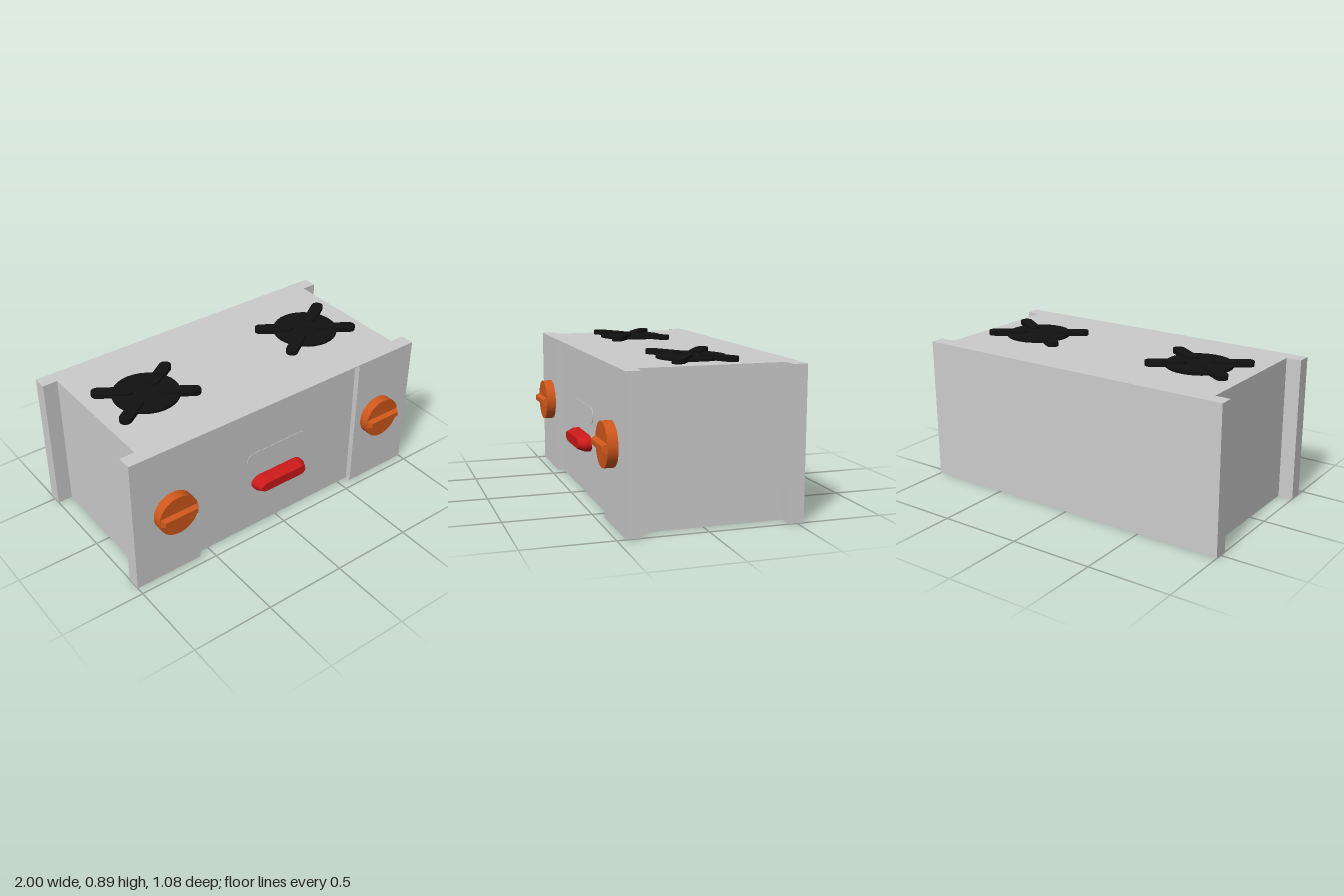
import * as THREE from 'three';

const grey = new THREE.MeshStandardMaterial({ color: 0xcccccc });
const black = new THREE.MeshStandardMaterial({ color: 0x111111 });
const orange = new THREE.MeshStandardMaterial({ color: 0xd0581c });
const red = new THREE.MeshStandardMaterial({ color: 0xcc1a1a });

const BACK = -0.54, FRONT = 0.45, LIP = 0.085, RECESS = 0.035;
const SIDE = 0.91, PANEL = 0.575, HEIGHT = 0.86, LID = 0.006;

function add(parent, name, geometry, material, x = 0, y = 0, z = 0) {
  const mesh = new THREE.Mesh(geometry, material);
  mesh.name = name;
  mesh.position.set(x, y, z);
  parent.add(mesh);
  return mesh;
}

// Rounded bar outline lying along x
function pill(halfLength, r) {
  const s = new THREE.Shape();
  const c = halfLength - r;
  s.moveTo(-c, -r);
  s.lineTo(c, -r);
  s.absarc(c, 0, r, -Math.PI / 2, Math.PI / 2, false);
  s.lineTo(-c, r);
  s.absarc(-c, 0, r, Math.PI / 2, Math.PI * 1.5, false);
  return s;
}

// Plan of the casing (x, -z), with end flanges and an optional front recess
function casing(recess, height) {
  const half = [[1, BACK], [1, BACK + LIP], [SIDE, BACK + LIP], [SIDE, FRONT - LIP],
    [1, FRONT - LIP], [1, FRONT]];
  if (recess) half.push([PANEL, FRONT], [PANEL, FRONT - recess]);
  const loop = [...half, ...half.map(([x, z]) => [-x, z]).reverse()];
  const shape = new THREE.Shape(loop.map(([x, z]) => new THREE.Vector2(x, -z)));
  return new THREE.ExtrudeGeometry(shape, { depth: height, bevelEnabled: false }).rotateX(-Math.PI / 2);
}

function createBurner(x) {
  const burner = new THREE.Group();
  burner.name = 'burner';
  burner.position.set(x, HEIGHT, -0.045);
  add(burner, 'burnerDisc', new THREE.CylinderGeometry(0.193, 0.193, 0.015, 32), black, 0, 0.0075, 0);
  // Four pan supports
  const arm = new THREE.ExtrudeGeometry(pill(0.118, 0.035), { depth: 0.028, bevelEnabled: false, curveSegments: 8 })
    .rotateX(-Math.PI / 2);
  for (const sx of [-1, 1]) for (const sz of [-1, 1]) {
    const support = add(burner, 'panSupport', arm, black, sx * 0.157, 0, sz * 0.105);
    support.rotation.y = -sx * sz * Math.atan2(0.15, 0.225);
  }
  return burner;
}

function createKnob(x) {
  const knob = new THREE.Group();
  knob.name = 'knob';
  knob.position.set(x, 0.445, FRONT);
  add(knob, 'knobDial', new THREE.CylinderGeometry(0.125, 0.125, 0.058, 32).rotateX(Math.PI / 2),
    orange, 0, 0, 0.029);
  // Grip bar narrowing towards the front
  const grip = new THREE.BoxGeometry(0.24, 0.05, 0.03);
  const p = grip.attributes.position;
  for (let i = 0; i < p.count; i++) {
    if (p.getZ(i) > 0) p.setXY(i, p.getX(i) * 0.87, p.getY(i) * 0.6);
  }
  grip.computeVertexNormals();
  add(knob, 'knobGrip', grip, orange, 0, 0, 0.072);
  return knob;
}

export function createModel() {
  const model = new THREE.Group();
  model.name = 'portableStove';

  add(model, 'casing', casing(RECESS, HEIGHT - LID), grey);
  add(model, 'casingTop', casing(0, LID), grey, 0, HEIGHT - LID, 0);

  for (const s of [-1, 1]) {
    model.add(createBurner(s * 0.575));
    model.add(createKnob(s * 0.745));
  }

  // Flat inset plate on the recessed front
  add(model, 'frontSlot', new THREE.ExtrudeGeometry(pill(0.217, 0.048),
    { depth: 0.003, bevelEnabled: false, curveSegments: 10 }), grey, 0, 0.492, FRONT - RECESS);

  // Red button with tapered rim
  add(model, 'redButton', new THREE.ExtrudeGeometry(pill(0.16, 0.037),
    { depth: 0.03, bevelThickness: 0.045, bevelSize: 0.024, bevelSegments: 1, curveSegments: 10 })
    .scale(1, 0.78, 1), red, 0, 0.32, FRONT - 0.035);

  return model;
}
